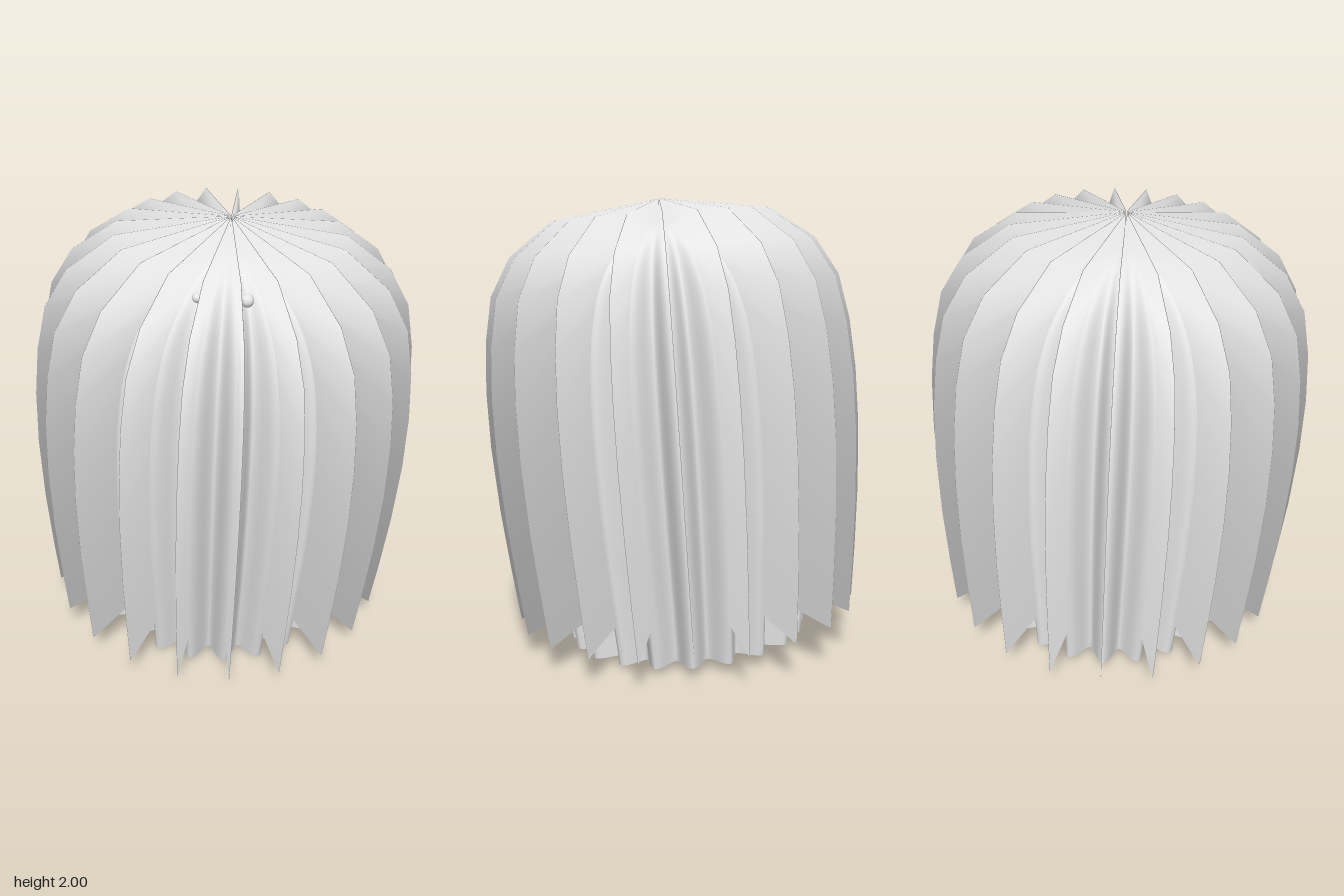
import * as THREE from 'three';

const RIBS = 21;
const STEP = (Math.PI * 2) / RIBS;
const OFFSET = -0.017; // small turn of the first rib from straight ahead
const vec = ([x, y]) => new THREE.Vector2(x, y);

// Radius and height along the crest of a rib, top to bottom
const CREST = new THREE.SplineCurve([
  [0.012, 1.86], [0.2, 1.825], [0.36, 1.75], [0.485, 1.63], [0.565, 1.46], [0.605, 1.25],
  [0.62, 0.97], [0.605, 0.6], [0.575, 0.3], [0.54, 0],
].map(vec));

// Outer edge of a fin, top to bottom
const FIN_EDGE = [
  [0.02, 1.965], [0.48, 1.9], [0.675, 1.755], [0.77, 1.59], [0.81, 1.39], [0.828, 1.17],
  [0.83, 0.92], [0.815, 0.62], [0.79, 0.34], [0.765, 0.11],
].map(vec);

// Ribbed open shell, lofted from scalloped rings; the ribs fade out towards the crown
function bodyGeometry() {
  const seg = RIBS * 10;
  const rows = CREST.getPoints(36);
  const pos = [], index = [];
  rows.forEach((p, row) => {
    const depth = 0.03 + 0.06 * THREE.MathUtils.smoothstep(p.x, 0.1, 0.55);
    for (let i = 0; i < seg; i++) {
      const a = (i / seg) * Math.PI * 2 + OFFSET;
      const r = p.x * (1 - depth + depth * Math.cos((a - OFFSET) * RIBS));
      pos.push(Math.sin(a) * r, p.y, Math.cos(a) * r);
      if (row === rows.length - 1) continue;
      const j = (i + 1) % seg;
      const [A, B, C, D] = [row * seg + i, (row + 1) * seg + i, (row + 1) * seg + j, row * seg + j];
      index.push(A, B, D, B, C, D);
    }
  });
  const g = new THREE.BufferGeometry();
  g.setAttribute('position', new THREE.Float32BufferAttribute(pos, 3));
  g.setIndex(index);
  g.computeVertexNormals();
  return g;
}

// Very thin two-sided wedge from the rib crest to the outer edge.
// Its normals follow the outer edge, so it blends softly with the body.
function finGeometry() {
  const last = FIN_EDGE.length - 1;
  const pos = [], normal = [], index = [];
  for (const side of [1, -1]) {
    const start = pos.length / 3;
    FIN_EDGE.forEach((outer, i) => {
      const inner = CREST.getPoint((i / last) * 0.926);
      const t = FIN_EDGE[Math.min(i + 1, last)].clone().sub(FIN_EDGE[Math.max(i - 1, 0)]).normalize();
      pos.push(outer.x, outer.y, side * 0.001, Math.max(inner.x - 0.01, 0.005), inner.y, side * 0.004);
      normal.push(-t.y, t.x, 0, -t.y, t.x, 0);
      if (i === last) return;
      const o = start + i * 2;
      const [O, I, O2, I2] = [o, o + 1, o + 2, o + 3];
      index.push(...(side > 0 ? [I, I2, O2, I, O2, O] : [I, O2, I2, I, O, O2]));
    });
  }
  const g = new THREE.BufferGeometry();
  g.setAttribute('position', new THREE.Float32BufferAttribute(pos, 3));
  g.setAttribute('normal', new THREE.Float32BufferAttribute(normal, 3));
  g.setIndex(index);
  return g;
}

export function createModel() {
  const pale = new THREE.MeshStandardMaterial({ color: 0xf4f4f4, side: THREE.DoubleSide });
  pale.name = 'pale grey';

  const model = new THREE.Group();
  model.name = 'barrelCactus';

  // The whole plant leans a little forward and to its left
  const plant = new THREE.Group();
  plant.name = 'plant';
  plant.position.set(-0.035, 0.03, -0.07);
  plant.quaternion.setFromUnitVectors(
    new THREE.Vector3(0, 1, 0), new THREE.Vector3(0.03, 1, 0.06).normalize());
  model.add(plant);

  const body = new THREE.Mesh(bodyGeometry(), pale);
  body.name = 'ribbedBody';
  plant.add(body);

  // One fin on each rib
  const finGeo = finGeometry();
  for (let i = 0; i < RIBS; i++) {
    const fin = new THREE.Mesh(finGeo, pale);
    fin.name = 'fin' + (i + 1);
    fin.rotation.y = i * STEP + OFFSET - Math.PI / 2;
    plant.add(fin);
  }

  // Small buds on the front of the crown
  [[0.055, 1.76, 0.367, 0.028], [-0.14, 1.76, 0.322, 0.02], [0.31, 1.74, 0.255, 0.022]].forEach(([x, y, z, r], i) => {
    const bud = new THREE.Mesh(new THREE.SphereGeometry(r, 16, 12), pale);
    bud.name = 'bud' + (i + 1);
    bud.position.set(x, y, z);
    model.add(bud);
  });

  return model;
}
